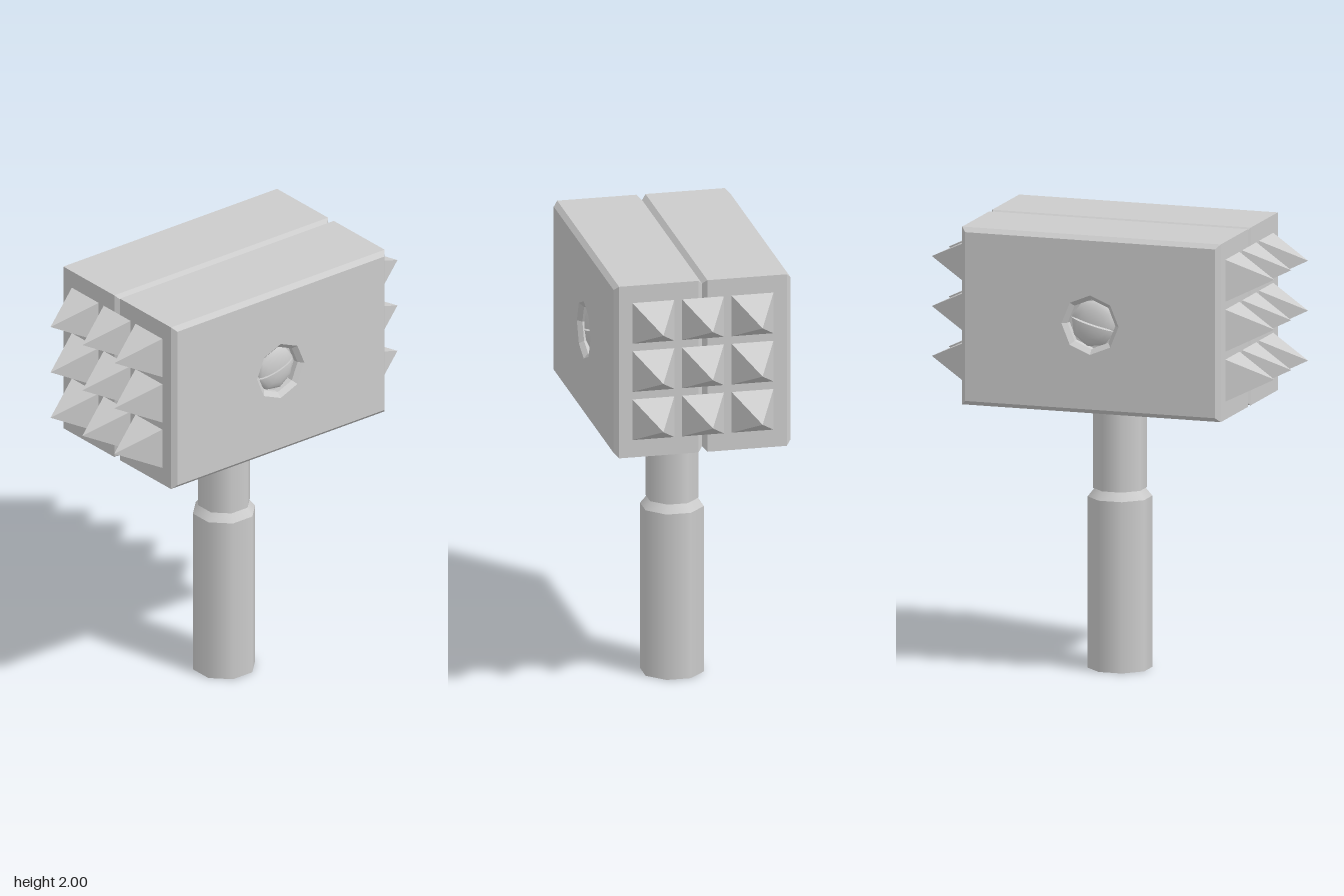
import * as THREE from 'three';

const steel = new THREE.MeshStandardMaterial({ color: 0xcccccc });
steel.name = 'steel grey';

function add(parent, name, geometry, x = 0, y = 0, z = 0) {
  const mesh = new THREE.Mesh(geometry, steel);
  mesh.name = name;
  mesh.position.set(x, y, z);
  parent.add(mesh);
  return mesh;
}

// Chamfered slab with a countersunk octagonal bolt hole
function headHalfGeometry(width, height, depth, bevel) {
  const w = width / 2, h = height / 2;
  const shape = new THREE.Shape([
    new THREE.Vector2(-w, -h), new THREE.Vector2(w, -h),
    new THREE.Vector2(w, h), new THREE.Vector2(-w, h),
  ]);
  const hole = [];
  for (let i = 0; i < 8; i++) {
    const a = -i * Math.PI / 4;
    hole.push(new THREE.Vector2(0.111 * Math.cos(a), 0.111 * Math.sin(a)));
  }
  shape.holes.push(new THREE.Path(hole));
  const geometry = new THREE.ExtrudeGeometry(shape, {
    depth: depth - 2 * bevel, bevelEnabled: true, bevelSegments: 1,
    bevelSize: bevel, bevelThickness: bevel, bevelOffset: -bevel,
  });
  geometry.translate(0, 0, bevel);
  return geometry;
}

// Slotted dome, made of two half domes, facing +z
function makeBolt(tilt) {
  const bolt = new THREE.Group();
  bolt.name = 'bolt';
  const shank = new THREE.CylinderGeometry(0.111, 0.111, 0.35, 8, 1, false, Math.PI / 2);
  shank.rotateX(Math.PI / 2);
  add(bolt, 'boltShank', shank, 0, 0, 0.175);
  const dome = new THREE.Group();
  dome.name = 'boltDome';
  for (const turn of [0, Math.PI]) {
    const half = new THREE.Group();
    half.name = 'domeHalf';
    add(half, 'domeSurface', new THREE.SphereGeometry(0.106, 4, 5, 0, Math.PI, 0, Math.PI / 2), 0, 0, 0.004);
    const wall = add(half, 'slotWall', new THREE.CircleGeometry(0.106, 10, 0, Math.PI), 0, 0, 0.004);
    wall.rotation.y = Math.PI;
    half.rotation.y = turn;
    dome.add(half);
  }
  dome.scale.y = 0.4;
  dome.rotation.x = Math.PI / 2;
  const turned = new THREE.Group();
  turned.name = 'boltHead';
  turned.add(dome);
  turned.rotation.z = tilt;
  turned.position.z = 0.345;
  bolt.add(turned);
  return bolt;
}

export function createModel() {
  const model = new THREE.Group();
  model.name = 'spikedMallet';
  const headY = 1.603;

  // Head: two slabs side by side, each with a bolt
  const slab = headHalfGeometry(1.2, 0.794, 0.397, 0.02);
  for (const side of [1, -1]) {
    const half = new THREE.Group();
    half.name = side > 0 ? 'frontHeadHalf' : 'backHeadHalf';
    add(half, 'headSlab', slab);
    half.add(makeBolt(side * 0.26));
    half.position.y = headY;
    half.rotation.y = side > 0 ? 0 : Math.PI;
    model.add(half);
  }

  // Spikes: a 3 x 3 grid of pyramids on each striking face
  const spike = new THREE.ConeGeometry(0.094 * Math.SQRT2, 0.195, 4).toNonIndexed();
  spike.rotateY(Math.PI / 4);
  spike.computeVertexNormals();
  for (const side of [1, -1]) {
    for (let row = -1; row <= 1; row++) {
      for (let col = -1; col <= 1; col++) {
        const mesh = add(model, side > 0 ? 'leftSpike' : 'rightSpike', spike,
          side * 0.6975, headY + row * 0.223, col * 0.223);
        mesh.rotation.z = -side * Math.PI / 2;
      }
    }
  }

  // Handle: eight-sided grip, shoulder and shaft, flats facing the axes
  const flat = 1 / Math.cos(Math.PI / 8);
  const section = (name, top, bottom, y0, y1) => add(model, name,
    new THREE.CylinderGeometry(top * flat, bottom * flat, y1 - y0, 8, 1, false, Math.PI / 8),
    0, (y0 + y1) / 2, 0);
  section('grip', 0.131, 0.131, 0, 0.765);
  section('gripShoulder', 0.103, 0.131, 0.765, 0.803);
  section('shaft', 0.109, 0.109, 0.803, 1.23);

  return model;
}
